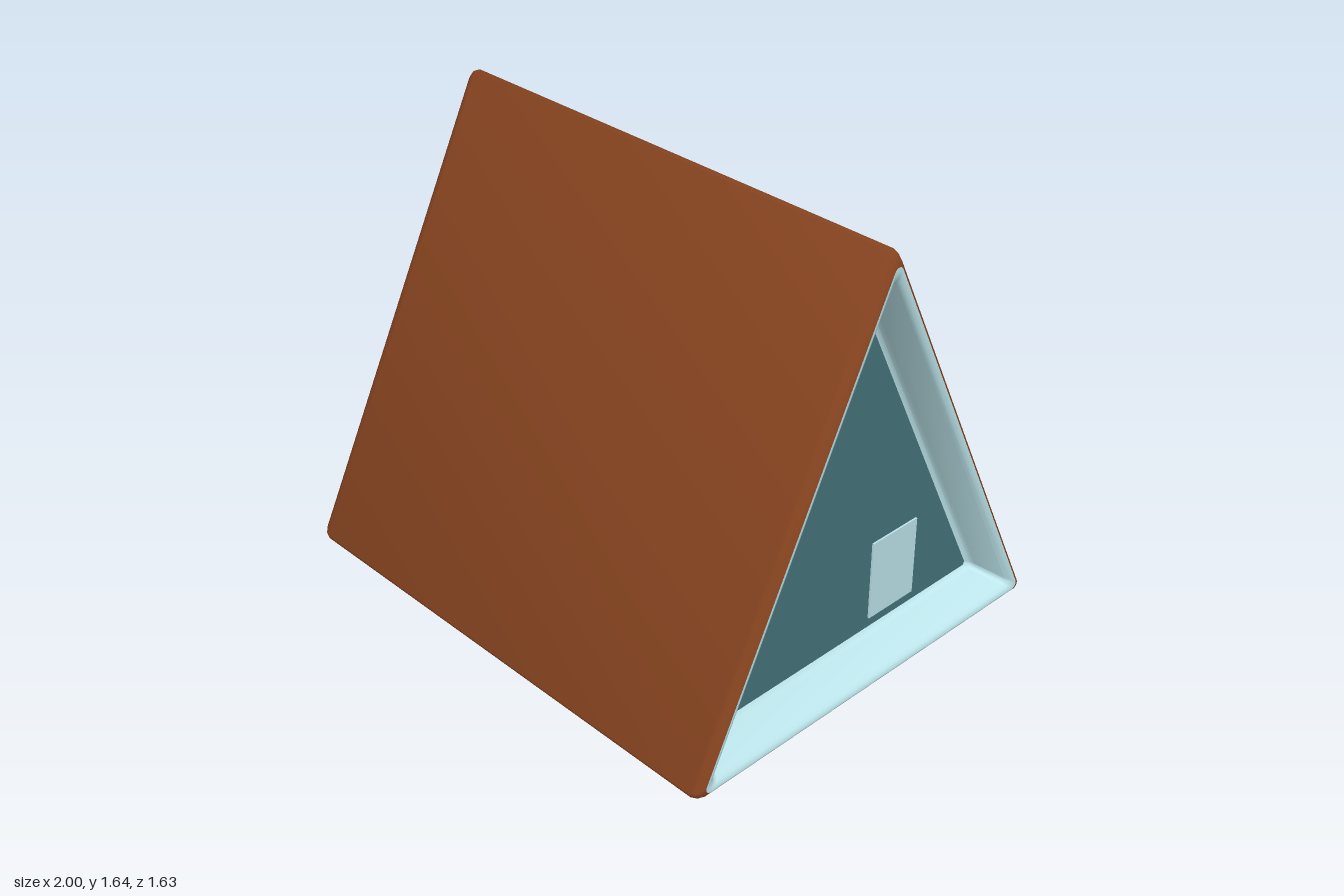
import * as THREE from 'three';
import { toCreasedNormals } from 'three/addons/utils/BufferGeometryUtils.js';

const HALF_BASE = 0.8275, HEIGHT = 1.67, ARC = 6;
const SLANT = Math.hypot(HALF_BASE, HEIGHT);
const INRADIUS = (HALF_BASE * HEIGHT) / (HALF_BASE + SLANT);
const ALPHA = Math.atan(HALF_BASE / HEIGHT);
const RING = 3 * (ARC + 1);

// corners of the triangle with the range of angles their rounding sweeps
const CORNERS = [
  { z: 0, y: HEIGHT, from: Math.PI - ALPHA, to: ALPHA },
  { z: HALF_BASE, y: 0, from: ALPHA, to: -Math.PI / 2 },
  { z: -HALF_BASE, y: 0, from: -Math.PI / 2, to: -Math.PI - ALPHA },
];

// rounded triangle, inset evenly on all three sides
function ring(inset, radius) {
  const k = 1 - (inset + radius) / INRADIUS;
  const points = [];
  for (const c of CORNERS) {
    for (let i = 0; i <= ARC; i++) {
      const t = THREE.MathUtils.lerp(c.from, c.to, i / ARC);
      points.push([c.z * k + radius * Math.cos(t), INRADIUS + (c.y - INRADIUS) * k + radius * Math.sin(t)]);
    }
  }
  return points;
}

// skin over a run of profile stations [x, inset, radius], for the chosen strips of the ring
function loft(stations, keep) {
  const pos = [], index = [];
  for (const [x, inset, radius] of stations) {
    for (const [z, y] of ring(inset, radius)) pos.push(x, y, z);
  }
  for (let s = 0; s < stations.length - 1; s++) {
    for (let i = 0; i < RING; i++) {
      if (!keep(i)) continue;
      const a = s * RING + i, d = s * RING + (i + 1) % RING;
      const b = a + RING, c = d + RING;
      index.push(a, c, b, a, d, c);
    }
  }
  const geo = new THREE.BufferGeometry();
  geo.setAttribute('position', new THREE.Float32BufferAttribute(pos, 3));
  geo.setIndex(index);
  return toCreasedNormals(geo, 0.7);
}

export function createModel() {
  const group = new THREE.Group();
  const paint = (color) => new THREE.MeshStandardMaterial({ color });
  const roofMat = paint(0x85431f), frameMat = paint(0xbde6ec);
  const panelMat = paint(0x44737a), doorMat = paint(0xbbe2e8);
  const add = (name, geo, mat) => {
    const mesh = new THREE.Mesh(geo, mat);
    mesh.name = name;
    group.add(mesh);
    return mesh;
  };

  // rounded outer edge, then the lip running into the recess
  const edge = [[0.96, 0, 0.02], [0.98, 0.004, 0.02], [0.994, 0.012, 0.02], [1, 0.022, 0.02]];
  const lip = [[1, 0.022, 0.02], [1, 0.03, 0.02], [0.994, 0.042, 0.02], [0.98, 0.05, 0.02],
    [0.87, 0.07, 0.016], [0.85, 0.075, 0.016], [0.84, 0.088, 0.012]];
  const mirror = (list) => list.map(([x, d, r]) => [-x, d, r]).reverse();
  const outer = [...mirror(edge), ...edge];

  // roof wraps both slopes and the corners; the floor closes the bottom
  const bottomStrip = 2 * (ARC + 1) - 1;
  add('roof', loft(outer, (i) => i !== bottomStrip), roofMat);
  add('floor', loft(outer, (i) => i === bottomStrip), frameMat);

  // recessed gable at each end
  const [panelX, panelInset, panelRadius] = lip[lip.length - 1];
  const outline = ring(panelInset, panelRadius).map(([z, y]) => new THREE.Vector2(-z, y));
  for (const side of [1, -1]) {
    const name = side > 0 ? 'left' : 'right';
    add(name + 'GableFrame', loft(side > 0 ? lip : mirror(lip), () => true), frameMat);
    const panel = add(name + 'GableWall', new THREE.ShapeGeometry(new THREE.Shape(outline)), panelMat);
    panel.rotation.y = side * Math.PI / 2;
    panel.position.x = side * panelX;
  }

  // door on one gable wall
  const door = add('door', new THREE.BoxGeometry(0.01, 0.31, 0.224), doorMat);
  door.position.set(panelX + 0.002, 0.283, -0.266);
  return group;
}
